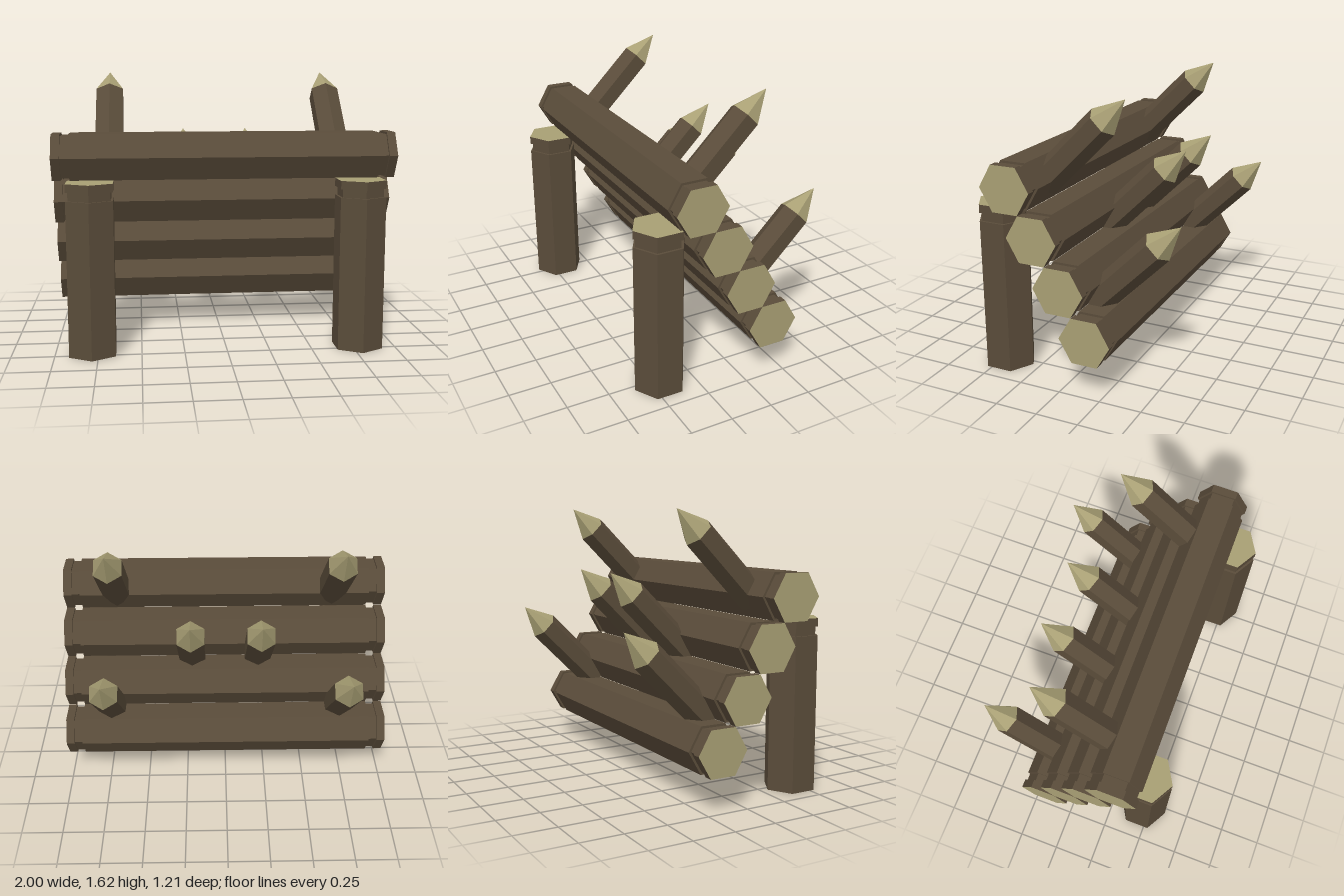
import * as THREE from 'three';

const bark = new THREE.MeshStandardMaterial({ color: 0x5a4c3a, flatShading: true, side: THREE.DoubleSide });
const cutWood = new THREE.MeshStandardMaterial({ color: 0xa89f74, flatShading: true, side: THREE.DoubleSide });

// Six-sided solid of revolution about y, with a corner facing +z
function hexLathe(profile) {
  return new THREE.LatheGeometry(profile.map(([r, y]) => new THREE.Vector2(r, y)), 6);
}

// Timber made of a bark body and light cut-wood ends
function timber(name, body, ends) {
  const group = new THREE.Group();
  group.name = name;
  const bodyMesh = new THREE.Mesh(hexLathe(body), bark);
  bodyMesh.name = name + 'Bark';
  group.add(bodyMesh);
  ends.forEach((profile, i) => {
    const end = new THREE.Mesh(hexLathe(profile), cutWood);
    end.name = name + 'End' + (i + 1);
    group.add(end);
  });
  return group;
}

const R = 0.154;       // log and post radius
const GROOVE = 0.139;  // radius inside the carved ring

// Horizontal log with a ring groove near each end
function makeLog() {
  const log = timber('log', [
    [R, -1], [R, -0.95], [GROOVE, -0.95], [GROOVE, -0.9], [R, -0.9],
    [R, 0.9], [GROOVE, 0.9], [GROOVE, 0.95], [R, 0.95], [R, 1],
  ], [
    [[0, -1], [R, -1]],
    [[R, 1], [0, 1]],
  ]);
  log.rotation.z = -Math.PI / 2;
  return log;
}

// Upright post, grooved near the top and open underneath
function makePost() {
  return timber('post', [
    [R, 0], [R, 0.905], [GROOVE, 0.905], [GROOVE, 0.955], [R, 0.955], [R, 1.003],
  ], [
    [[R, 1.003], [0, 1.003]],
  ]);
}

// Sharpened stake leaning back at 45 degrees, placed by its tip
function makeStake() {
  const r = 0.094;
  const stake = timber('stake', [[r, -0.718], [r, -0.187]], [[[r, -0.187], [0, 0]]]);
  stake.rotation.x = -Math.PI / 4;
  return stake;
}

export function createModel() {
  const model = new THREE.Group();
  model.name = 'spikedBarricade';

  // Four logs stacked in a backward slope
  for (let i = 0; i < 4; i++) {
    const log = makeLog();
    log.position.set(0, 0.333 + i * 0.268, -0.16 + i * 0.155);
    model.add(log);
  }

  for (const side of [-1, 1]) {
    // Front posts
    const post = makePost();
    post.position.set(side * 0.783, 0, 0.45);
    model.add(post);

    // Stakes: tip positions of the three rows
    for (const [x, y, z] of [[0.676, 1.615, -0.26], [0.207, 1.246, -0.423], [0.716, 0.972, -0.602]]) {
      const stake = makeStake();
      stake.position.set(side * x, y, z);
      model.add(stake);
    }
  }
  return model;
}
